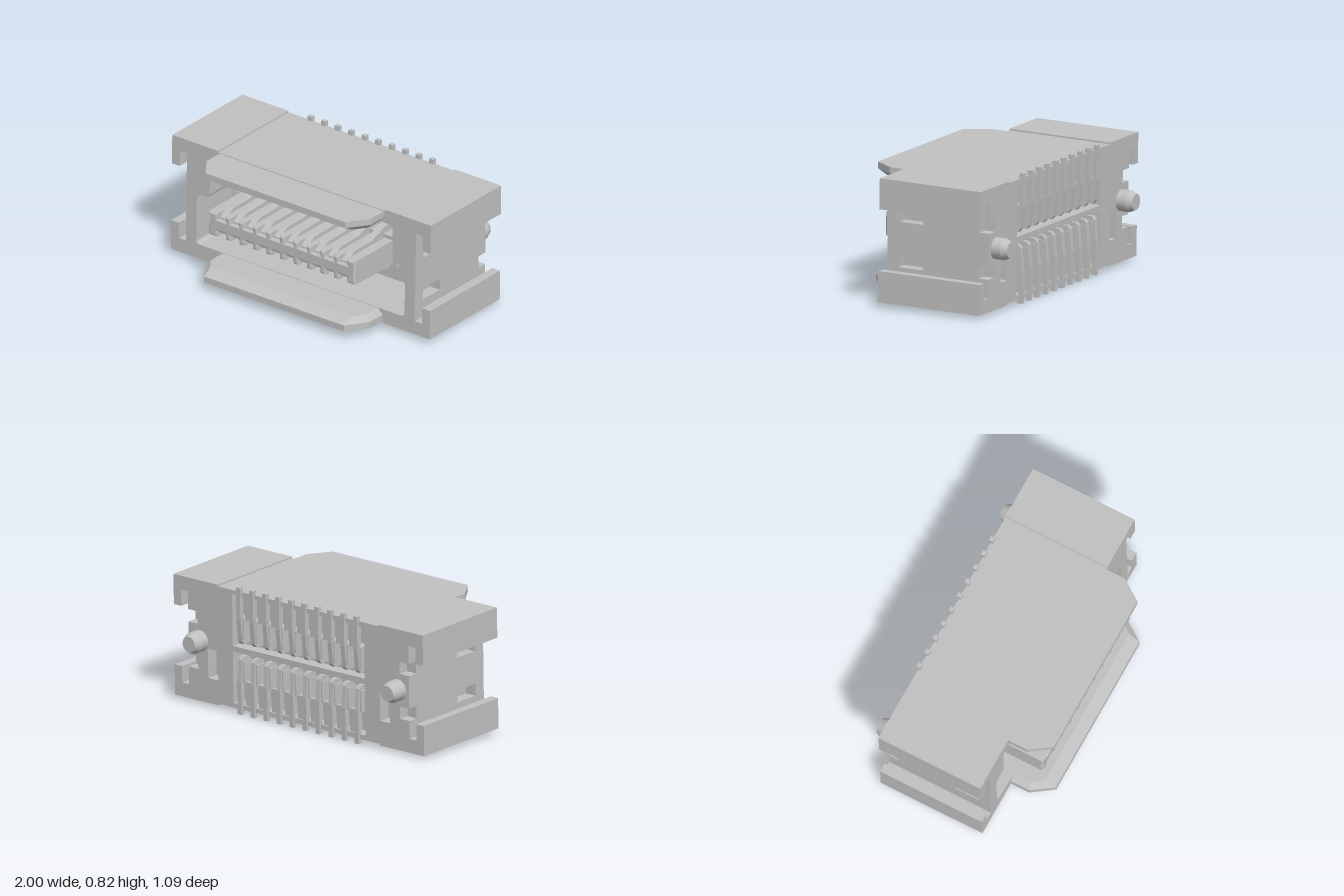
import * as THREE from 'three';
import { ConvexGeometry } from 'three/addons/geometries/ConvexGeometry.js';

const grey = new THREE.MeshStandardMaterial({ color: 0xc0c0c0 });
grey.name = 'light grey';

// Polygon path with optional rounded corners
function path(points, radius = 0, Type = THREE.Shape) {
  const pts = points.map(([x, y]) => new THREE.Vector2(x, y));
  if (!radius) return new Type(pts);
  const p = new Type();
  pts.forEach((c, i) => {
    const prev = pts[(i + pts.length - 1) % pts.length];
    const next = pts[(i + 1) % pts.length];
    const a = c.clone().add(prev.clone().sub(c).setLength(radius));
    const b = c.clone().add(next.clone().sub(c).setLength(radius));
    if (i) p.lineTo(a.x, a.y); else p.moveTo(a.x, a.y);
    p.quadraticCurveTo(c.x, c.y, b.x, b.y);
  });
  p.closePath();
  return p;
}

const rect = (x0, x1, y0, y1) => path([[x0, y0], [x1, y0], [x1, y1], [x0, y1]], 0, THREE.Path);
const mirrorX = (half) => [...half, ...half.map(([x, y]) => [-x, y]).reverse()];

export function createModel() {
  const model = new THREE.Group();
  model.name = 'connector';
  const body = new THREE.Group();
  body.name = 'tiltedBody';
  body.position.y = 0.43;
  body.rotation.x = -0.019;
  model.add(body);

  function add(name, geometry) {
    const mesh = new THREE.Mesh(geometry, grey);
    mesh.name = name;
    body.add(mesh);
    return mesh;
  }
  function box(name, x0, x1, y0, y1, z0, z1) {
    add(name, new THREE.BoxGeometry(x1 - x0, y1 - y0, z1 - z0))
      .position.set((x0 + x1) / 2, (y0 + y1) / 2, (z0 + z1) / 2);
  }
  // Extrude an x-y shape between two z values
  function slab(name, shape, holes, z0, z1) {
    shape.holes.push(...holes);
    const g = new THREE.ExtrudeGeometry(shape, { depth: z1 - z0, bevelEnabled: false, curveSegments: 6 });
    add(name, g.translate(0, 0, z0));
  }
  // Extrude a z-y shape between two x values
  function sideSlab(name, shape, x0, x1) {
    const g = new THREE.ExtrudeGeometry(shape, { depth: x1 - x0, bevelEnabled: false });
    add(name, g.rotateY(-Math.PI / 2).translate(x1, 0, 0));
  }

  const count = 10, pitch = 0.1044;
  const columns = Array.from({ length: count }, (_, i) => (i - (count - 1) / 2) * pitch);

  // Housing section with hooked side flanges
  const outline = () => path(mirrorX([
    [0.645, -0.38], [0.645, -0.39], [1, -0.39], [1, -0.195], [0.94, -0.195], [0.94, -0.3], [0.81, -0.3],
    [0.81, 0.3], [0.94, 0.3], [0.94, 0.195], [1, 0.195], [1, 0.39], [0.645, 0.39], [0.645, 0.38],
  ]));

  // Front frame around the stepped mating cavity
  const cavity = path(mirrorX([
    [0.805, -0.295], [0.805, 0.05], [0.705, 0.05], [0.705, 0.3],
  ]), 0.03, THREE.Path);
  slab('frontFrame', outline(), [cavity], -0.1, 0.27);

  // Middle wall with corner pockets and contact openings
  const openings = [rect(0.61, 0.795, -0.29, 0), rect(-0.795, -0.61, -0.29, 0)];
  for (const x of columns) {
    openings.push(rect(x - 0.03, x + 0.03, 0.11, 0.17), rect(x - 0.03, x + 0.03, -0.17, -0.11));
  }
  slab('middleWall', outline(), openings, -0.3, -0.1);
  slab('closingWall', outline(), [], -0.36, -0.3);

  // Rear frame with the terminal recess and small pockets beside the pegs
  slab('rearFrame', outline(), [
    rect(-0.53, 0.53, -0.35, 0.35),
    rect(0.65, 0.73, -0.23, -0.04), rect(-0.73, -0.65, -0.23, -0.04),
  ], -0.44, -0.36);
  box('rearCentreBar', -0.53, 0.53, -0.018, 0.018, -0.44, -0.35);

  // Side walls with windows and rear notches
  for (const s of [1, -1]) {
    const wall = path([
      [-0.44, -0.305], [0.27, -0.305], [0.27, 0.305], [-0.44, 0.305],
      [-0.44, 0.185], [-0.37, 0.185], [-0.37, 0.105], [-0.44, 0.105],
      [-0.44, -0.105], [-0.37, -0.105], [-0.37, -0.185], [-0.44, -0.185],
    ]);
    wall.holes.push(rect(0.02, 0.19, 0.105, 0.182), rect(0.02, 0.19, -0.182, -0.105));
    sideSlab('sideWall', wall, s > 0 ? 0.81 : -0.885, s > 0 ? 0.885 : -0.81);
  }

  // Guide plates with cut corners and chamfered inner edges
  for (const s of [1, -1]) {
    const points = [];
    const ring = (y, list) => {
      for (const [x, z] of list) for (const m of [1, -1]) points.push(new THREE.Vector3(m * x, s * y, z));
    };
    ring(0.375, [[0.635, 0.26], [0.635, 0.4], [0.54, 0.537]]);
    ring(0.334, [[0.635, 0.26], [0.635, 0.4], [0.54, 0.537]]);
    ring(0.298, [[0.6, 0.26], [0.6, 0.385], [0.545, 0.465]]);
    add(s > 0 ? 'upperGuidePlate' : 'lowerGuidePlate', new ConvexGeometry(points));
  }

  // Tongue with a groove for every contact
  const top = [[-0.565, 0.08]];
  for (const x of columns) {
    top.push([x - 0.03, 0.08], [x - 0.03, 0.042], [x + 0.03, 0.042], [x + 0.03, 0.08]);
  }
  top.push([0.565, 0.08]);
  const tongue = path([...top, ...top.map(([x, y]) => [x, -y]).reverse()]);
  const bevel = 0.012;
  add('tongue', new THREE.ExtrudeGeometry(tongue, {
    depth: 0.55, bevelSize: bevel, bevelThickness: bevel, bevelOffset: -bevel, bevelSegments: 1,
  }).translate(0, 0, -0.097));
  box('tongueBase', -0.59, 0.59, -0.105, 0.105, -0.11, 0.08);

  // Contacts on the tongue, terminal tails and ribs at the rear
  const arm = [
    [-0.3, 0.165], [-0.1, 0.165], [0.06, 0.15], [0.2, 0.1], [0.37, 0.098],
    [0.41, 0.075], [0.445, 0.052], [0.445, 0.035], [-0.3, 0.035],
  ];
  const tail = [
    [-0.34, 0.04], [-0.425, 0.04], [-0.44, 0.06], [-0.455, 0.2], [-0.455, 0.41],
    [-0.425, 0.41], [-0.425, 0.2], [-0.41, 0.08], [-0.34, 0.08],
  ];
  for (const s of [1, -1]) {
    const flip = (pts) => path(pts.map(([z, y]) => [z, s * y]));
    for (const x of columns) {
      sideSlab('contact', flip(arm), x - 0.0225, x + 0.0225);
      sideSlab('terminalTail', flip(tail), x - 0.016, x + 0.016);
      const y0 = s > 0 ? 0.07 : -0.21;
      box('terminalShoulder', x - 0.025, x + 0.025, y0, y0 + 0.14, -0.435, -0.35);
    }
    for (let i = 0; i < count - 1; i++) {
      const x = columns[i] + pitch / 2;
      const y0 = s > 0 ? 0.2 : -0.36;
      box('rearRib', x - 0.02, x + 0.02, y0, y0 + 0.16, -0.43, -0.35);
    }
  }

  // Locating pegs with tapered tips
  for (const s of [1, -1]) {
    const shaft = new THREE.CylinderGeometry(0.068, 0.068, 0.08, 32);
    add('pegShaft', shaft.rotateX(-Math.PI / 2)).position.set(s * 0.795, 0, -0.465);
    const tip = new THREE.CylinderGeometry(0.05, 0.068, 0.04, 32);
    add('pegTip', tip.rotateX(-Math.PI / 2)).position.set(s * 0.795, 0, -0.525);
  }
  return model;
}
